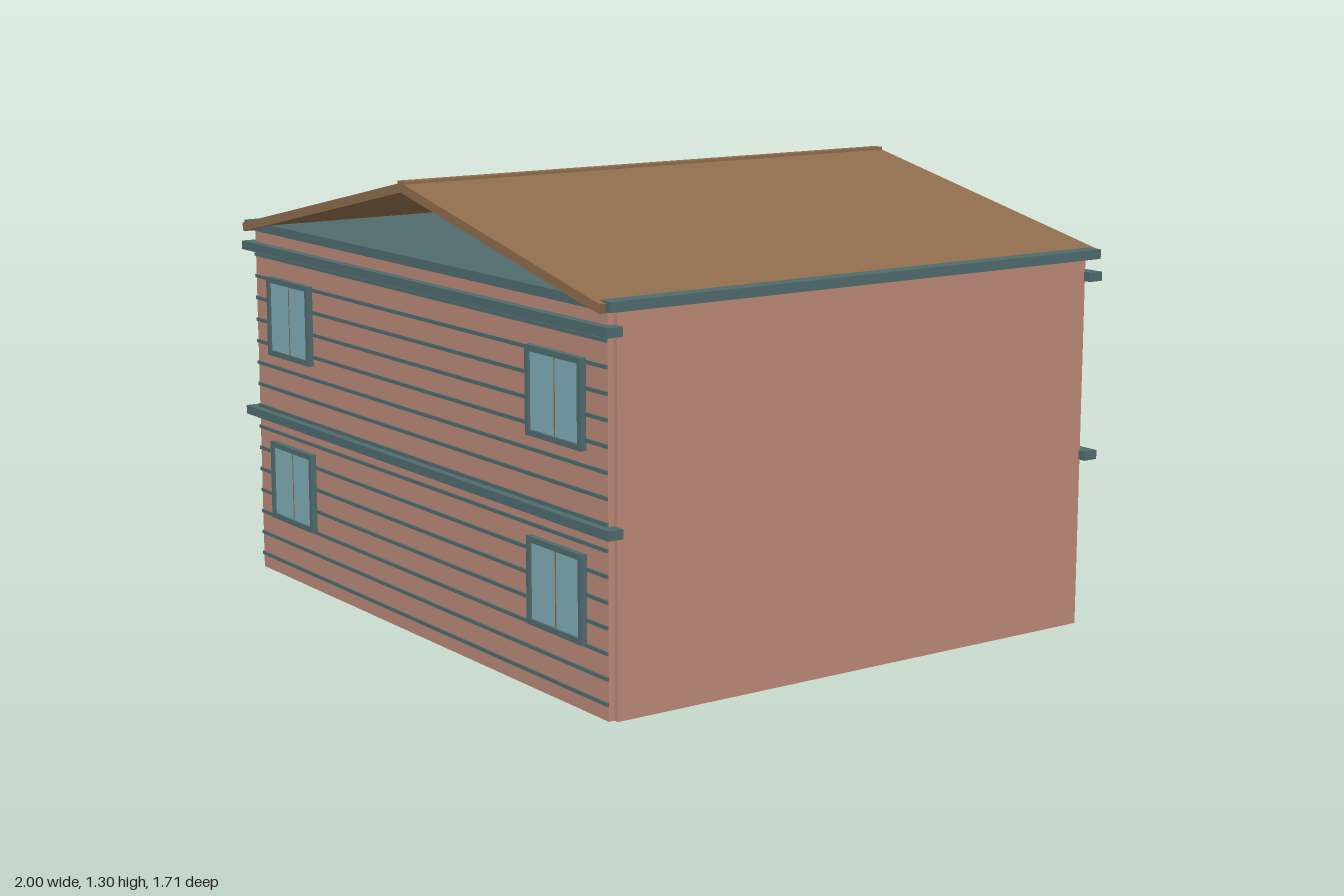
import * as THREE from 'three';

const material = (name, color) => {
  const m = new THREE.MeshStandardMaterial({ color });
  m.name = name;
  return m;
};

export function createModel() {
  const brick = material('brick', 0xbc8a79);
  const trim = material('slate trim', 0x506b6e);
  const glass = material('glass', 0x80adb9);
  const wood = material('roof wood', 0x8f6d4c);
  const stone = material('floor stone', 0x97917f);

  const house = new THREE.Group();
  house.name = 'house';

  // Box given by its minimum and maximum on each axis
  const box = (name, mat, [x0, x1], [y0, y1], [z0, z1], parent = house) => {
    const mesh = new THREE.Mesh(new THREE.BoxGeometry(x1 - x0, y1 - y0, z1 - z0), mat);
    mesh.position.set((x0 + x1) / 2, (y0 + y1) / 2, (z0 + z1) / 2);
    mesh.name = name;
    parent.add(mesh);
    return mesh;
  };

  // Floor and walls; the back wall leaves an opening for the door
  box('floor', stone, [-0.96, 0.96], [0.004, 0.025], [-0.8, 0.8]);
  box('leftWall', brick, [0.96, 0.975], [0, 1.065], [-0.8, 0.8]);
  box('rightWall', brick, [-0.975, -0.96], [0, 1.065], [-0.8, 0.8]);
  box('frontWall', brick, [-0.96, 0.96], [0, 1.065], [0.797, 0.818]);
  box('backWallLeft', brick, [0.138, 0.96], [0, 1.065], [-0.815, -0.797]);
  box('backWallRight', brick, [-0.96, -0.138], [0, 1.065], [-0.815, -0.797]);
  box('backWallAboveDoor', brick, [-0.138, 0.138], [0.455, 1.065], [-0.814, -0.797]);
  box('door', trim, [-0.132, 0.132], [0.015, 0.45], [-0.814, -0.8]);

  // Thin horizontal siding lines on the front
  for (let i = 0; i < 15; i++) {
    const y = 0.045 + i * 0.0673;
    box('sidingLine', trim, [-0.96, 0.96], [y - 0.005, y + 0.005], [0.817, 0.823]);
  }

  // Storey bands front and back
  for (const y of [0.485, 1.0]) {
    box('frontBand', trim, [-1, 1], [y, y + 0.026], [0.799, 0.845]);
    box('backBand', trim, [-1, 1], [y, y + 0.026], [-0.842, -0.796]);
  }

  // Two-pane window facing +z, built around its own centre
  const makeWindow = () => {
    const g = new THREE.Group();
    g.name = 'window';
    const w = 0.131, h = 0.12, t = 0.016;
    box('frameTop', trim, [-w, w], [h - t, h], [0, 0.018], g);
    box('frameBottom', trim, [-w, w], [-h, -h + t], [0, 0.018], g);
    for (const s of [-1, 1]) {
      const side = s < 0 ? [-w, -w + t] : [w - t, w];
      box('frameSide', trim, side, [-h + t, h - t], [0, 0.018], g);
      const pane = s < 0 ? [-w + t, -0.003] : [0.003, w - t];
      box('pane', glass, pane, [-h + t, h - t], [0, 0.011], g);
    }
    box('mullion', wood, [-0.003, 0.003], [-h + t, h - t], [0, 0.011], g);
    return g;
  };
  for (const x of [-0.731, 0.731]) {
    for (const y of [0.3, 0.81]) {
      const front = makeWindow();
      front.position.set(x, y, 0.818);
      const back = makeWindow();
      back.position.set(x, y, -0.815);
      back.rotation.y = Math.PI;
      house.add(front, back);
    }
  }

  // Ceiling slab under the open gables
  box('ceilingSlab', trim, [-1, 1], [1.063, 1.09], [-0.835, 0.835]);

  // Two roof slopes with a flat ridge cap
  const length = 1.0, thick = 0.026, angle = Math.atan(0.216);
  for (const s of [-1, 1]) {
    const slope = new THREE.Mesh(new THREE.BoxGeometry(length, thick, 1.706), wood);
    slope.geometry.translate(s * length / 2, -thick / 2, 0);
    slope.position.set(0, 1.295, 0);
    slope.rotation.z = -s * angle;
    slope.name = s < 0 ? 'roofRight' : 'roofLeft';
    house.add(slope);
  }
  box('ridgeCap', wood, [-0.017, 0.017], [1.273, 1.3], [-0.853, 0.853]);

  return house;
}
